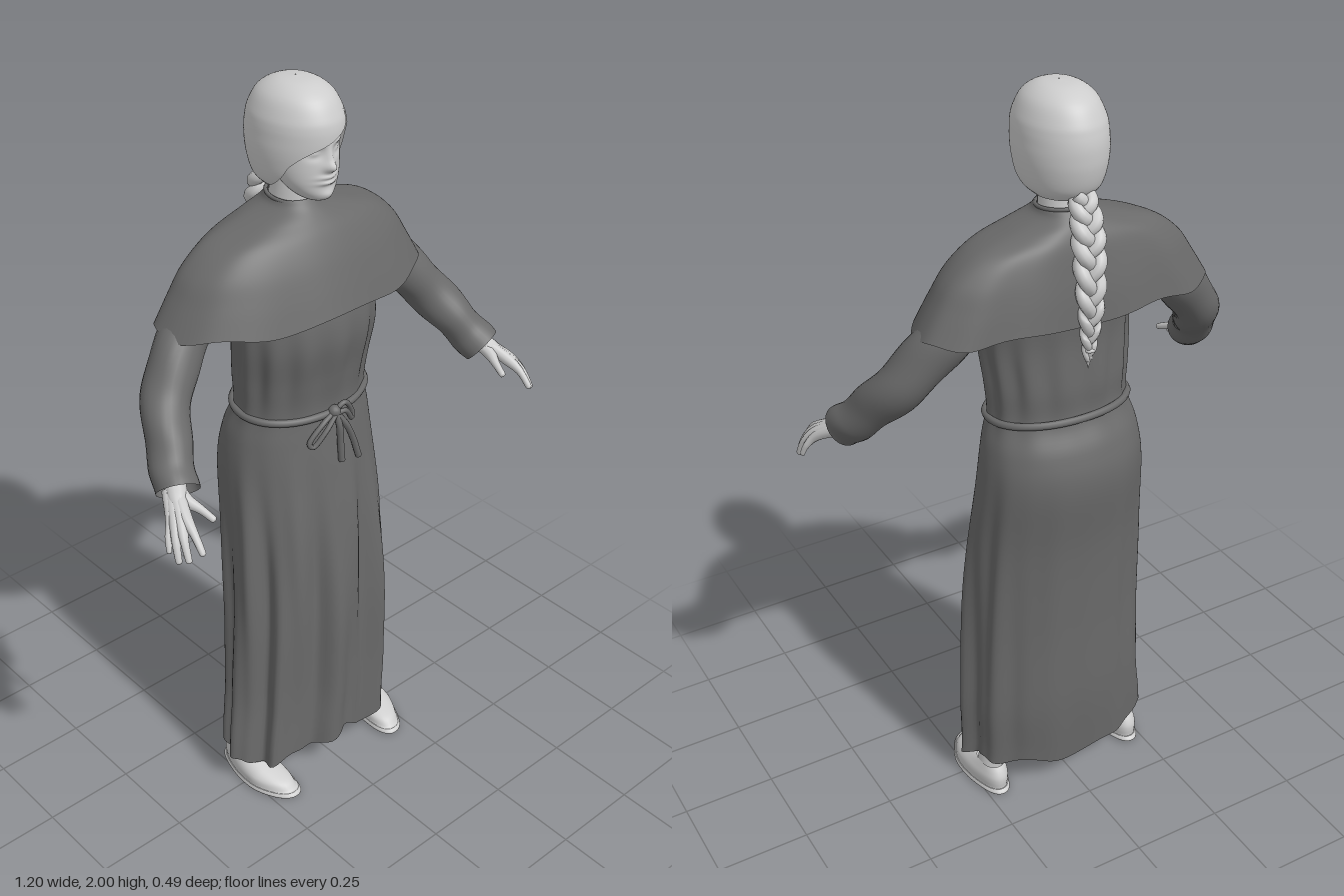
import * as THREE from 'three';

const robeMat = new THREE.MeshStandardMaterial({ name: 'dark robe', color: 0x6a6a6a, side: THREE.DoubleSide });
const paleMat = new THREE.MeshStandardMaterial({ name: 'pale', color: 0xcccccc, side: THREE.DoubleSide });

const { sin, cos, PI, sign, abs, pow, exp } = Math;
const bump = (a, s) => exp(-(a * a) / (s * s));
const spow = (a, p) => sign(a) * pow(abs(a), p);

// Smooth surface through a grid of points; point(u, v) with u around and v along
function grid(cols, rows, point, closed = true) {
  const pos = [], idx = [], w = closed ? cols : cols + 1;
  for (let i = 0; i <= rows; i++)
    for (let j = 0; j < w; j++) pos.push(...point(j / cols, i / rows));
  for (let i = 0; i < rows; i++)
    for (let j = 0; j < cols; j++) {
      const a = i * w + j, b = i * w + ((j + 1) % w), c = a + w, d = b + w;
      idx.push(a, c, b, b, c, d);
    }
  const g = new THREE.BufferGeometry();
  g.setAttribute('position', new THREE.Float32BufferAttribute(pos, 3));
  g.setIndex(idx);
  g.computeVertexNormals();
  return g;
}

// Smooth interpolation of section rows, v in 0..1
function sampler(rows) {
  const f = new THREE.CubicInterpolant(rows.map((_, i) => i), rows.flat(), rows[0].length);
  return v => Array.from(f.evaluate(v * (rows.length - 1)));
}

// Rows, top down: [y, half width, front z, back z]
function loft(rows, cols, steps, bend, power = 1) {
  const at = sampler(rows);
  return grid(cols, steps, (u, v) => {
    const [y, rx, zf, zb] = at(v), t = u * 2 * PI;
    return bend([rx * spow(sin(t), power), y, (zf + zb) / 2 + (zf - zb) / 2 * spow(cos(t), power)], t, v);
  });
}

// Tapered round limb through [x, y, z, radius]
function limb(points, cols = 12, steps = 16, wrinkle = () => 0) {
  const curve = new THREE.CatmullRomCurve3(points.map(p => new THREE.Vector3(...p)));
  const fr = curve.computeFrenetFrames(steps), radius = sampler(points.map(p => [p[3]]));
  return grid(cols, steps, (u, v) => {
    const i = Math.round(v * steps), t = u * 2 * PI;
    const r = Math.max(radius(v)[0], 0.0005) + wrinkle(t, v);
    return curve.getPoint(v).addScaledVector(fr.normals[i], r * cos(t))
      .addScaledVector(fr.binormals[i], -r * sin(t)).toArray();
  });
}

const rope = (pts, r, closed = false, n = 40) => new THREE.TubeGeometry(
  new THREE.CatmullRomCurve3(pts.map(p => new THREE.Vector3(...p)), closed), n, r, 8, closed);

export function createModel() {
  const model = new THREE.Group();
  const add = (name, geo, mat, parent = model) => {
    const m = new THREE.Mesh(geo, mat);
    m.name = name;
    parent.add(m);
    return m;
  };

  // Long robe, gathered at the waist, with folds deepening towards the hem
  add('robe', loft([
    [1.66, 0.09, -0.02, -0.15], [1.58, 0.17, 0.04, -0.175], [1.48, 0.195, 0.085, -0.185],
    [1.38, 0.197, 0.098, -0.18], [1.27, 0.188, 0.078, -0.185], [1.18, 0.187, 0.066, -0.185],
    [1.10, 0.208, 0.075, -0.222], [1.0, 0.221, 0.088, -0.238], [0.8, 0.233, 0.108, -0.213],
    [0.55, 0.243, 0.118, -0.2], [0.3, 0.255, 0.11, -0.195], [0.095, 0.268, 0.105, -0.175],
  ], 144, 70, ([x, y, z], t) => {
    const k = THREE.MathUtils.smoothstep(1.16 - y, 0, 0.55);
    const front = 0.55 + 0.45 * cos(t);
    const skirt = k * front * (0.018 * cos(9 * t + 0.5 * sin(5 * y)) + 0.008 * cos(17 * t + 1 + 2 * y));
    const bodice = 0.006 * cos(13 * t) * bump(y - 1.3, 0.12);
    const f = 1 + (skirt + bodice) / 0.2;
    const low = THREE.MathUtils.smoothstep(0.3 - y, 0, 0.2);
    const hem = low * (0.012 * cos(3 * t) + 0.008 * sin(8 * t) - 0.035 * bump(x - 0.11, 0.05) * (z > 0 ? 1 : 0));
    return [x * f - 0.012 * low, y + hem, -0.06 + (z + 0.06) * f];
  }, 0.95), robeMat);

  // Shoulder cape with a flared hem
  add('cape', loft([
    [1.715, 0.062, -0.015, -0.145], [1.695, 0.08, 0.0, -0.16], [1.672, 0.15, 0.02, -0.175],
    [1.64, 0.245, 0.045, -0.188], [1.59, 0.31, 0.072, -0.20], [1.53, 0.35, 0.096, -0.212], [1.46, 0.392, 0.12, -0.222],
  ], 120, 36, ([x, y, z], t, v) => {
    const f = 1 + v * v * 0.02 * cos(11 * t + 0.6);
    return [x, y + v * v * 0.007 * cos(7 * t), z * f - 0.1 * x * x / 0.39];
  }, 0.9), robeMat);
  add('collar', rope(Array.from({ length: 16 }, (_, i) => {
    const t = i / 8 * PI;
    return [0.062 * sin(t), 1.713 - 0.006 * cos(t), -0.08 + 0.065 * cos(t)];
  }), 0.005, true), robeMat);

  // Rope belt with knot, two drooping loops and two hanging tails
  const belt = new THREE.Group();
  belt.name = 'belt';
  model.add(belt);
  add('beltRope', rope(Array.from({ length: 32 }, (_, i) => {
    const t = i / 16 * PI;
    return [0.189 * spow(sin(t), 0.95), 1.175 - 0.01 * cos(t), -0.06 + 0.128 * spow(cos(t), 0.95)];
  }), 0.01, true, 96), robeMat, belt);
  add('knot', new THREE.SphereGeometry(0.017, 14, 10), robeMat, belt).position.set(0, 1.168, 0.074);
  for (const [x, y] of [[-0.085, 1.095], [0.06, 1.13]])
    add('bowLoop', rope([[0, 1.168, 0.075], [x * 0.5, y + 0.055, 0.08], [x, y + 0.01, 0.076],
      [x * 0.9, y, 0.08], [x * 0.45, y + 0.035, 0.087], [0, 1.165, 0.082]], 0.007), robeMat, belt);
  for (const [x, y] of [[0.01, 1.025], [0.068, 1.015]])
    add('beltTail', rope([[0, 1.165, 0.08], [x * 0.35, 1.13, 0.09], [x * 0.7, 1.08, 0.091],
      [x, y, 0.093]], 0.009), robeMat, belt);

  // Arms, hands, legs and shoes on both sides
  for (const s of [-1, 1]) {
    const side = s > 0 ? 'left' : 'right';
    const m = pts => pts.map(([x, ...r]) => [s * x, ...r]);
    add(side + 'Sleeve', limb(m([
      [0.18, 1.53, -0.09, 0.05], [0.26, 1.495, -0.095, 0.06], [0.338, 1.43, -0.088, 0.062], [0.408, 1.347, -0.058, 0.062],
      [0.457, 1.274, -0.005, 0.057], [0.488, 1.215, 0.05, 0.054], [0.51, 1.172, 0.095, 0.053],
    ]), 28, 48, (t, v) => 0.003 * sin(22 * v + 2 * cos(t))), robeMat);

    const hand = new THREE.Group();
    hand.name = side + 'Hand';
    model.add(hand);
    add('wrist', limb(m([[0.485, 1.22, 0.045, 0.026], [0.51, 1.182, 0.09, 0.026], [0.53, 1.163, 0.122, 0.022],
      [0.547, 1.148, 0.15, 0.0005]])), paleMat, hand);
    // Each finger runs from the wrist through its knuckle to the tip
    const fingers = [
      [[0.507, 1.178, 0.09], [0.508, 1.162, 0.13], [0.495, 1.15, 0.165], [0.485, 1.135, 0.2]],
      [[0.515, 1.18, 0.1], [0.54, 1.147, 0.165], [0.547, 1.125, 0.205], [0.55, 1.09, 0.238]],
      [[0.519, 1.178, 0.097], [0.553, 1.14, 0.165], [0.57, 1.11, 0.197], [0.577, 1.072, 0.22]],
      [[0.523, 1.176, 0.092], [0.562, 1.137, 0.155], [0.583, 1.105, 0.182], [0.591, 1.066, 0.2]],
      [[0.527, 1.174, 0.087], [0.566, 1.137, 0.142], [0.587, 1.108, 0.158], [0.595, 1.08, 0.17]],
    ];
    fingers.forEach(([w, a, b, c], i) => {
      const r = i === 4 ? 0.009 : 0.011;
      const tip = c.map((q, k) => q + (c[k] - b[k]) * 0.1);
      add(i ? 'finger' : 'thumb', limb(m([[...w, 0.018], [...a, r * 1.45], [...b, r * 0.95], [...c, r * 0.7],
        [...tip, 0.0005]]), 10, 20), paleMat, hand);
    });

    add(side + 'Leg', limb(m([[0.11, 0.55, -0.06, 0.06], [0.15, 0.3, -0.065, 0.048],
      [0.203, 0.13, -0.065, 0.036], [0.213, 0.04, -0.055, 0.036]]), 18, 20), paleMat);
    add(side + 'Shoe', loft([
      [0.082, 0.035, -0.02, -0.112], [0.066, 0.043, 0.025, -0.123], [0.05, 0.05, 0.07, -0.13], [0.034, 0.053, 0.108, -0.131],
      [0.016, 0.052, 0.128, -0.129], [0.014, 0.055, 0.135, -0.132], [0, 0.053, 0.132, -0.13], [0, 0.001, 0.002, -0.002],
    ], 40, 42, ([x, y, z]) => {
      const heel = z < 0 ? 0.85 + 0.15 * bump(z, 0.07) : 1, toe = 0.2 * Math.max(z - 0.04, 0);
      return [s * (0.213 - toe) + x * heel, Math.max(y, 0), z];
    }, 0.88), paleMat);
  }

  // Head with nose, brow, eyes, lips and chin raised from the surface
  const head = new THREE.Group();
  head.name = 'head';
  model.add(head);
  add('neck', limb([[0, 1.64, -0.085, 0.06], [0, 1.7, -0.08, 0.058], [0, 1.76, -0.075, 0.055], [0, 1.83, -0.075, 0.055]], 24, 12), paleMat, head);
  add('face', loft([
    [1.97, 0.03, -0.02, -0.1], [1.93, 0.072, 0.028, -0.14], [1.88, 0.083, 0.05, -0.15], [1.84, 0.083, 0.05, -0.145],
    [1.80, 0.079, 0.05, -0.125], [1.77, 0.069, 0.048, -0.095], [1.745, 0.051, 0.046, -0.07], [1.728, 0.028, 0.035, -0.04],
    [1.725, 0.001, 0.0, -0.002],
  ], 112, 84, ([x, y, z]) => {
    if (z < 0) return [x, y, z];
    const ax = abs(x);
    z += 0.02 * bump(x, 0.015) * bump(y - 1.814, 0.013) + 0.01 * bump(x, 0.012) * bump(y - 1.835, 0.022);
    z += 0.005 * bump(ax - 0.035, 0.026) * bump(y - 1.872, 0.009);
    z -= 0.009 * bump(ax - 0.033, 0.02) * bump(y - 1.848, 0.013);
    z += 0.007 * bump(ax - 0.034, 0.012) * bump(y - 1.848, 0.007);
    z += 0.009 * bump(x, 0.025) * (bump(y - 1.79, 0.006) + bump(y - 1.776, 0.006));
    z += 0.006 * bump(x, 0.02) * bump(y - 1.742, 0.012);
    return [x, y, z];
  }), paleMat, head);

  // Hair cap with a swept fringe: [y, half width, front z, back z, opening left, opening right]
  const hairAt = sampler([
    [2.0, 0.001, -0.064, -0.066, 0.6, 0.6], [1.993, 0.046, -0.01, -0.12, 0.6, 0.6], [1.968, 0.08, 0.035, -0.165, 0.6, 0.6],
    [1.93, 0.099, 0.059, -0.19, 0.62, 0.6], [1.905, 0.105, 0.066, -0.198, 0.7, 0.5], [1.88, 0.107, 0.067, -0.202, 0.9, 0.0],
    [1.855, 0.108, 0.065, -0.202, 1.02, -0.55], [1.825, 0.106, 0.06, -0.199, 1.1, -0.9], [1.79, 0.1, 0.05, -0.19, 1.2, -1.1],
    [1.765, 0.09, 0.03, -0.178, 1.4, -1.3], [1.745, 0.07, 0.0, -0.158, 1.65, -1.6],
  ]);
  add('hair', grid(72, 44, (u, v) => {
    const [y, rx, zf, zb, l, r] = hairAt(v), t = l + u * (2 * PI + r - l);
    return [rx * sin(t), y, (zf + zb) / 2 + (zf - zb) / 2 * cos(t)];
  }, false), paleMat, head);

  // Three-strand braid down the back
  const spine = sampler([[0, 1.765, -0.165, 0.8], [0, 1.70, -0.19, 1], [0.004, 1.62, -0.21, 1],
    [0.006, 1.52, -0.222, 0.9], [0.004, 1.43, -0.216, 0.65], [0, 1.355, -0.205, 0.3]]);
  for (let k = 0; k < 3; k++) {
    const pts = Array.from({ length: 61 }, (_, i) => {
      const [x, y, z, w] = spine(i / 60), a = i / 60 * 5.5 * PI + k * 2 * PI / 3;
      return [x + 0.024 * w * sin(a), y, z + 0.01 * w * sin(2 * a), 0.0185 * w];
    });
    add('braidStrand', limb(pts, 10, 120), paleMat, head);
  }
  add('braidTie', new THREE.TorusGeometry(0.01, 0.005, 8, 16).rotateX(PI / 2), paleMat, head).position.set(0, 1.385, -0.21);
  add('braidTip', new THREE.ConeGeometry(0.013, 0.05, 10).rotateX(PI), paleMat, head).position.set(0, 1.355, -0.205);
  return model;
}
